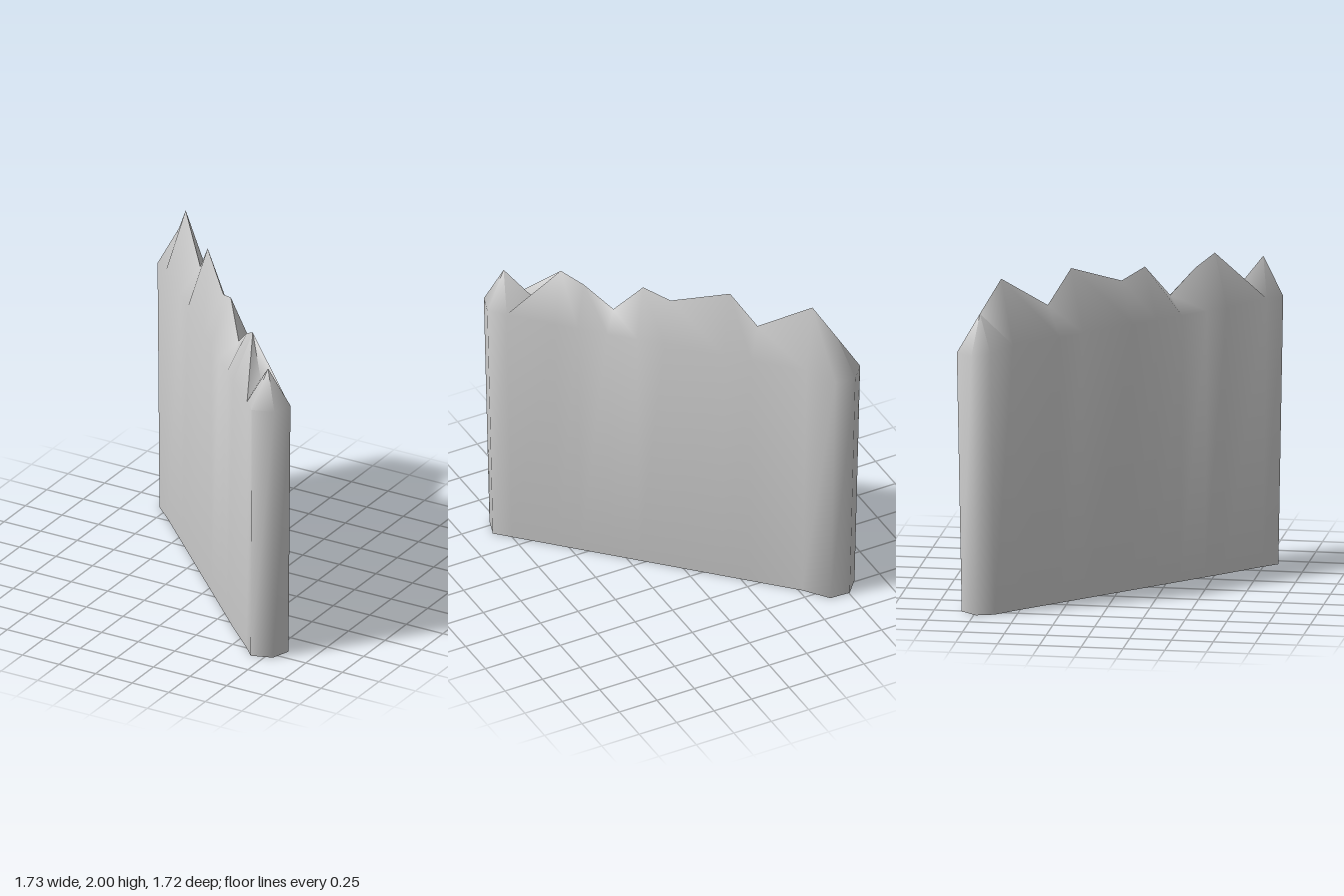
import * as THREE from 'three';
import { toCreasedNormals } from 'three/addons/utils/BufferGeometryUtils.js';

// Jagged wall running along the x = z diagonal, with a split-off post at one end
export function createModel() {
  const group = new THREE.Group();
  const stone = new THREE.MeshStandardMaterial({ color: 0xc8c8c8 });
  stone.name = 'stoneGrey';

  // Crest: distance along the diagonal, height
  const crest = [
    [-0.73, 1.81], [-0.62, 2.0], [-0.38, 1.79], [-0.26, 1.99], [0, 1.86],
    [0.12, 1.92], [0.25, 1.72], [0.38, 1.86], [0.48, 1.93],
  ].map(([s, y]) => new THREE.Vector3(s, y, s));
  const lastPeak = crest[crest.length - 1];
  const postTip = new THREE.Vector3(0.73, 1.86, 0.73);
  const notch = new THREE.Vector3(0.61, 1.71, 0.61);

  // Shoulder outline, each point with the crest point its roof faces lean to
  const outline = [];
  const add = (x, y, z, inApex, outApex = inApex) =>
    outline.push({ p: new THREE.Vector3(x, y, z), inApex, outApex });
  const h = 0.085;
  add(-0.83, 1.59, -0.65, crest[0]);
  crest.slice(1).forEach((c) => add(c.x - h, 1.62, c.x + h, c));
  add(0.61, 1.63, 0.77, lastPeak, postTip);
  add(0.69, 1.63, 0.855, postTip);
  add(0.82, 1.63, 0.81, postTip);
  add(0.86, 1.63, 0.69, postTip);
  add(0.775, 1.63, 0.605, postTip, lastPeak);
  crest.slice(1).reverse().forEach((c) => add(c.x + h, 1.62, c.x - h, c));
  add(-0.65, 1.59, -0.855, crest[0]);
  add(-0.78, 1.58, -0.86, crest[0]);
  add(-0.865, 1.58, -0.76, crest[0]);

  const verts = [];
  const tri = (...points) => points.forEach((p) => verts.push(p.x, p.y, p.z));
  const foot = (p) => new THREE.Vector3(p.x * 0.97, 0, p.z * 0.97);
  const centre = new THREE.Vector3();

  outline.forEach((a, i) => {
    const b = outline[(i + 1) % outline.length];
    const fa = foot(a.p), fb = foot(b.p);
    // Tapered side and base
    tri(fa, fb, b.p);
    tri(fa, b.p, a.p);
    tri(centre, fb, fa);
    // Sloping top
    tri(a.p, b.p, a.outApex);
    if (a.outApex !== b.inApex) tri(b.p, b.inApex, a.outApex);
  });

  // Cleft between the last peak and the post
  const n = crest.length;
  const front = outline[n].p, back = outline[n + 4].p;
  tri(lastPeak, front, notch);
  tri(lastPeak, notch, back);
  tri(front, postTip, notch);
  tri(notch, postTip, back);

  const geometry = new THREE.BufferGeometry();
  geometry.setAttribute('position', new THREE.Float32BufferAttribute(verts, 3));
  const wall = new THREE.Mesh(toCreasedNormals(geometry, 1.2), stone);
  wall.name = 'jaggedWall';
  group.add(wall);
  return group;
}
